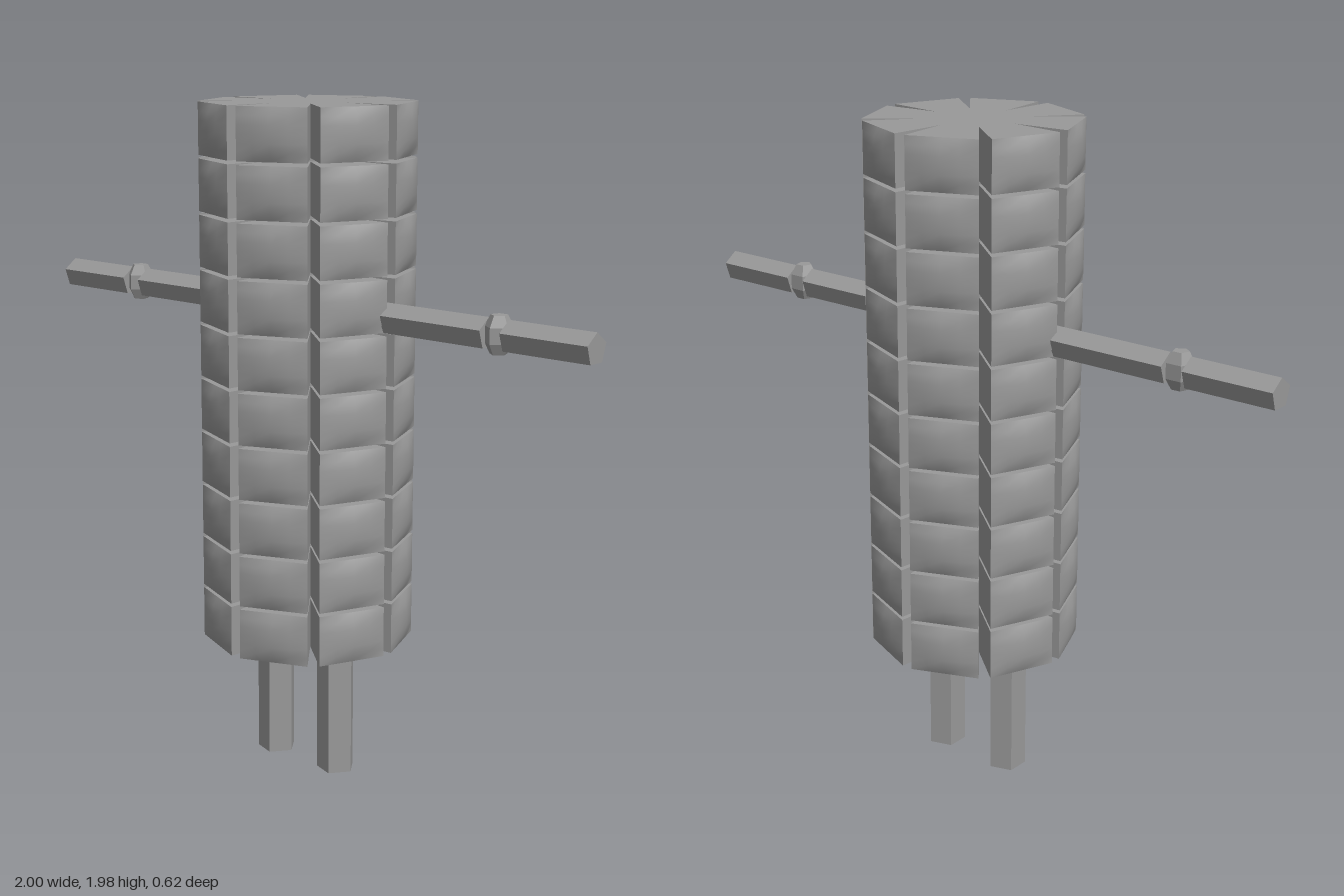
import * as THREE from 'three';
import { toCreasedNormals } from 'three/addons/utils/BufferGeometryUtils.js';

const BODY_X = 0.013, BODY_R = 0.31, SLOT_R = 0.14;
const BODY_BOTTOM = 0.4, LAYERS = 10, PITCH = 0.158, GAP = 0.01;

// One slotted disc: eight pillowed plates separated by wedge-shaped slots
function layerGeometry(height) {
  const rows = 6, steps = 4, slot = 0.055, half = Math.PI / 8 - slot;
  const pos = [], index = [];
  let count = 0;
  for (let i = 0; i <= rows; i++) {
    const t = i / rows;
    const bulge = Math.sqrt(Math.sin(Math.PI * t) + 1e-9);
    const put = (r, a) => pos.push(r * Math.cos(a), t * height, -r * Math.sin(a));
    for (let k = 0; k < 8; k++) {
      const start = k * Math.PI / 4, mid = start + Math.PI / 8;
      put(SLOT_R, start);
      for (let s = 0; s <= steps; s++) {
        const d = half * (2 * s / steps - 1);
        const chord = BODY_R * Math.cos(half) / Math.cos(d);
        put(THREE.MathUtils.lerp(chord, BODY_R, bulge), mid + d);
      }
    }
    if (i === 0) count = pos.length / 3;
  }
  for (let i = 0; i < rows; i++) {
    for (let j = 0; j < count; j++) {
      const n = (j + 1) % count;
      const a = i * count + j, b = i * count + n;
      index.push(a, b, b + count, a, b + count, a + count);
    }
  }
  // Flat caps
  const c = pos.length / 3;
  pos.push(0, 0, 0, 0, height, 0);
  for (let j = 0; j < count; j++) {
    const n = (j + 1) % count;
    index.push(c, n, j, c + 1, rows * count + j, rows * count + n);
  }
  const g = new THREE.BufferGeometry();
  g.setAttribute('position', new THREE.Float32BufferAttribute(pos, 3));
  g.setIndex(index);
  return toCreasedNormals(g, 0.5);
}

// Five-sided bar along y with one edge facing +x
function barGeometry(radius, length) {
  const g = new THREE.CylinderGeometry(radius, radius, length, 5);
  g.rotateY(-Math.PI / 2 + Math.PI);
  return toCreasedNormals(g, 0.3);
}

export function createModel() {
  const model = new THREE.Group();
  const grey = new THREE.MeshStandardMaterial({ color: 0x999999 });
  grey.name = 'grey';
  const add = (name, geometry, x, y, z) => {
    const mesh = new THREE.Mesh(geometry, grey);
    mesh.name = name;
    mesh.position.set(x, y, z);
    model.add(mesh);
    return mesh;
  };

  // Body: stacked slotted layers around a solid core
  const layer = layerGeometry(PITCH - GAP);
  for (let i = 0; i < LAYERS; i++) {
    add('bodyLayer', layer, BODY_X, BODY_BOTTOM + i * PITCH + GAP / 2, 0);
  }
  add('bodyCore', new THREE.CylinderGeometry(0.135, 0.135, LAYERS * PITCH - 0.02, 16),
    BODY_X, BODY_BOTTOM + LAYERS * PITCH / 2, 0);

  // Legs
  const leg = barGeometry(0.058, 0.42);
  add('rightLeg', leg, -0.113, 0.21, 0);
  add('leftLeg', leg, 0.128, 0.21, 0);

  // Arms: two bars with a faceted elbow between them
  const upper = barGeometry(0.045, 0.46).rotateZ(Math.PI / 2);
  const lower = barGeometry(0.045, 0.275).rotateZ(Math.PI / 2);
  const profile = [[0, -0.053], [0.024, -0.053], [0.041, -0.022], [0.041, 0.022],
    [0.024, 0.053], [0, 0.053]].map(([x, y]) => new THREE.Vector2(x, y));
  const elbow = toCreasedNormals(new THREE.LatheGeometry(profile, 5), 0.2);
  for (const side of [-1, 1]) {
    const prefix = side > 0 ? 'left' : 'right';
    add(prefix + 'UpperArm', upper, side * 0.43, 1.39, 0);
    add(prefix + 'Forearm', lower, side * 0.8625, 1.39, 0);
    add(prefix + 'Elbow', elbow, side * 0.693, 1.392, 0);
  }
  return model;
}
